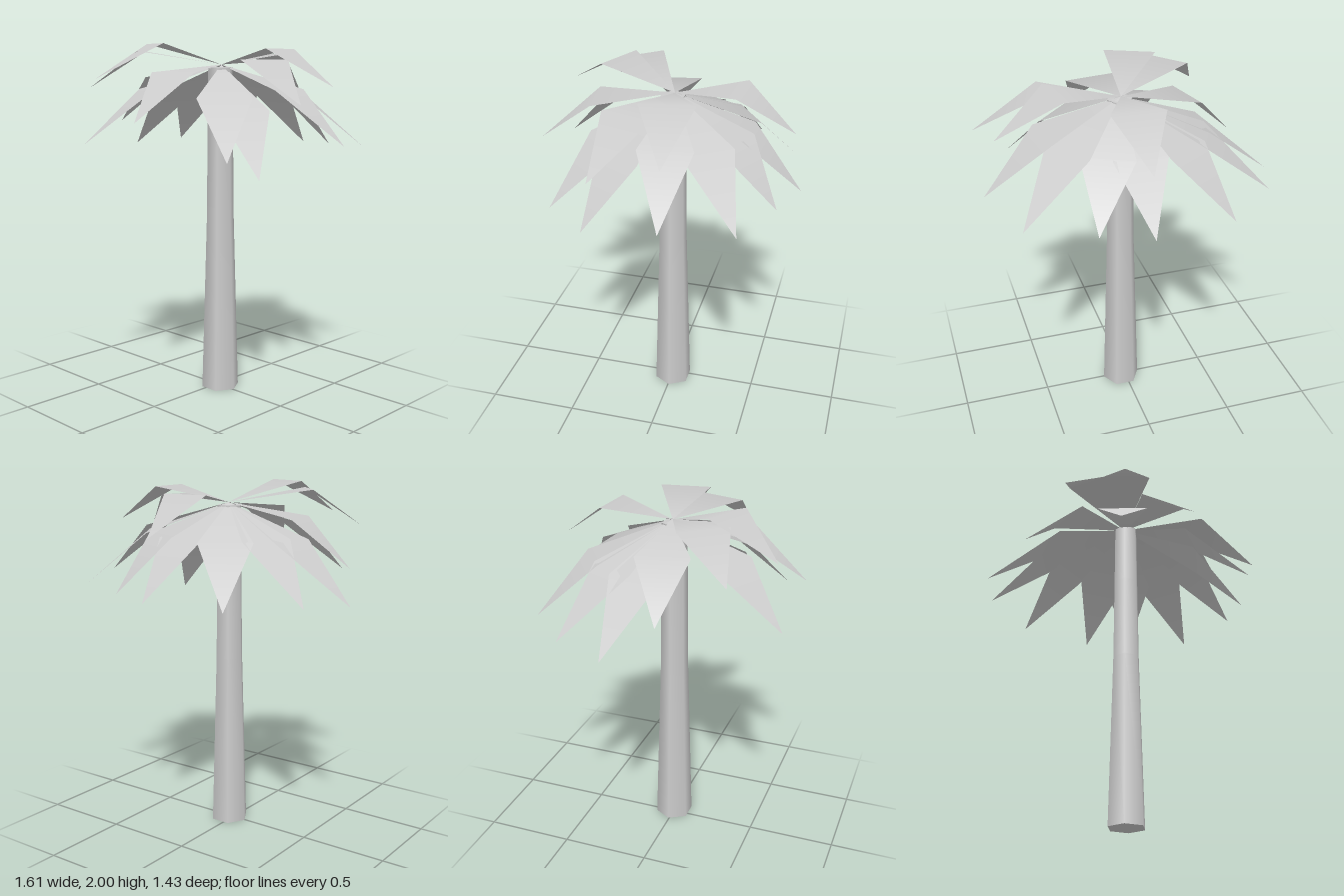
import * as THREE from 'three';

const CENTER = new THREE.Vector3(0.025, 0, -0.005);
const ROOT = new THREE.Vector3(0.022, 1.885, -0.015);
const HALF_WIDTH = 0.145;

// One row per frond: tip x, y, z and the distance from the root to its widest line
const FRONDS = [
  // upper fronds
  [0.055, 1.735, -0.67, 0.365], [0.725, 1.77, -0.125, 0.385], [0.79, 1.69, 0.22, 0.46],
  [-0.27, 1.81, 0.65, 0.39], [-0.55, 1.755, 0.47, 0.45],
  // middle fronds
  [0.12, 1.595, 0.715, 0.43], [-0.665, 1.55, 0.145, 0.42],
  // drooping fronds
  [0.055, 1.41, -0.72, 0.41], [0.32, 1.42, -0.63, 0.42], [0.67, 1.43, -0.49, 0.45],
  [0.80, 1.465, -0.13, 0.45], [0.62, 1.315, 0.33, 0.42], [0.57, 1.41, 0.51, 0.43],
  [-0.315, 1.46, 0.70, 0.44], [-0.805, 1.39, -0.095, 0.45], [-0.70, 1.41, -0.38, 0.43],
  [-0.40, 1.40, -0.645, 0.445],
];

// Kite-shaped blade: rises or runs out to its widest line, then bends down to the tip
function frondGeometry([x, y, z, reach]) {
  const dir = new THREE.Vector3(x - ROOT.x, 0, z - ROOT.z).normalize();
  const side = new THREE.Vector3(-dir.z, 0, dir.x).multiplyScalar(HALF_WIDTH);
  const bend = ROOT.clone().addScaledVector(dir, reach);
  bend.y = 1.98 + 0.71 * (y - 1.785);
  const points = [ROOT, bend.clone().add(side), bend.clone().sub(side), new THREE.Vector3(x, y, z)];
  const geometry = new THREE.BufferGeometry().setFromPoints(points);
  geometry.setIndex([0, 1, 2, 1, 3, 2]);
  geometry.computeVertexNormals();
  return geometry;
}

export function createModel() {
  const model = new THREE.Group();
  model.name = 'palmTree';
  const grey = new THREE.MeshStandardMaterial({ color: 0xcccccc, side: THREE.DoubleSide });
  grey.name = 'light grey';

  // Six-sided tapering trunk
  const trunk = new THREE.Group();
  trunk.name = 'trunk';
  trunk.position.copy(CENTER);
  const profile = [[0.11, 0], [0.081, 1], [0.075, 1.5], [0.071, 1.87]].map(([r, y]) => new THREE.Vector2(r, y));
  const bark = new THREE.Mesh(new THREE.LatheGeometry(profile, 6, Math.PI / 2), grey);
  bark.name = 'trunkSide';
  trunk.add(bark);
  for (const [name, r, y, turn] of [['trunkBase', 0.11, 0, 1], ['trunkTop', 0.071, 1.87, -1]]) {
    const cap = new THREE.Mesh(new THREE.CircleGeometry(r, 6).rotateX(turn * Math.PI / 2), grey);
    cap.name = name;
    cap.position.y = y;
    trunk.add(cap);
  }
  model.add(trunk);

  // Crown of fronds
  const crown = new THREE.Group();
  crown.name = 'crown';
  FRONDS.forEach((row, i) => {
    const frond = new THREE.Mesh(frondGeometry(row), grey);
    frond.name = `frond${i + 1}`;
    crown.add(frond);
  });
  model.add(crown);
  return model;
}
